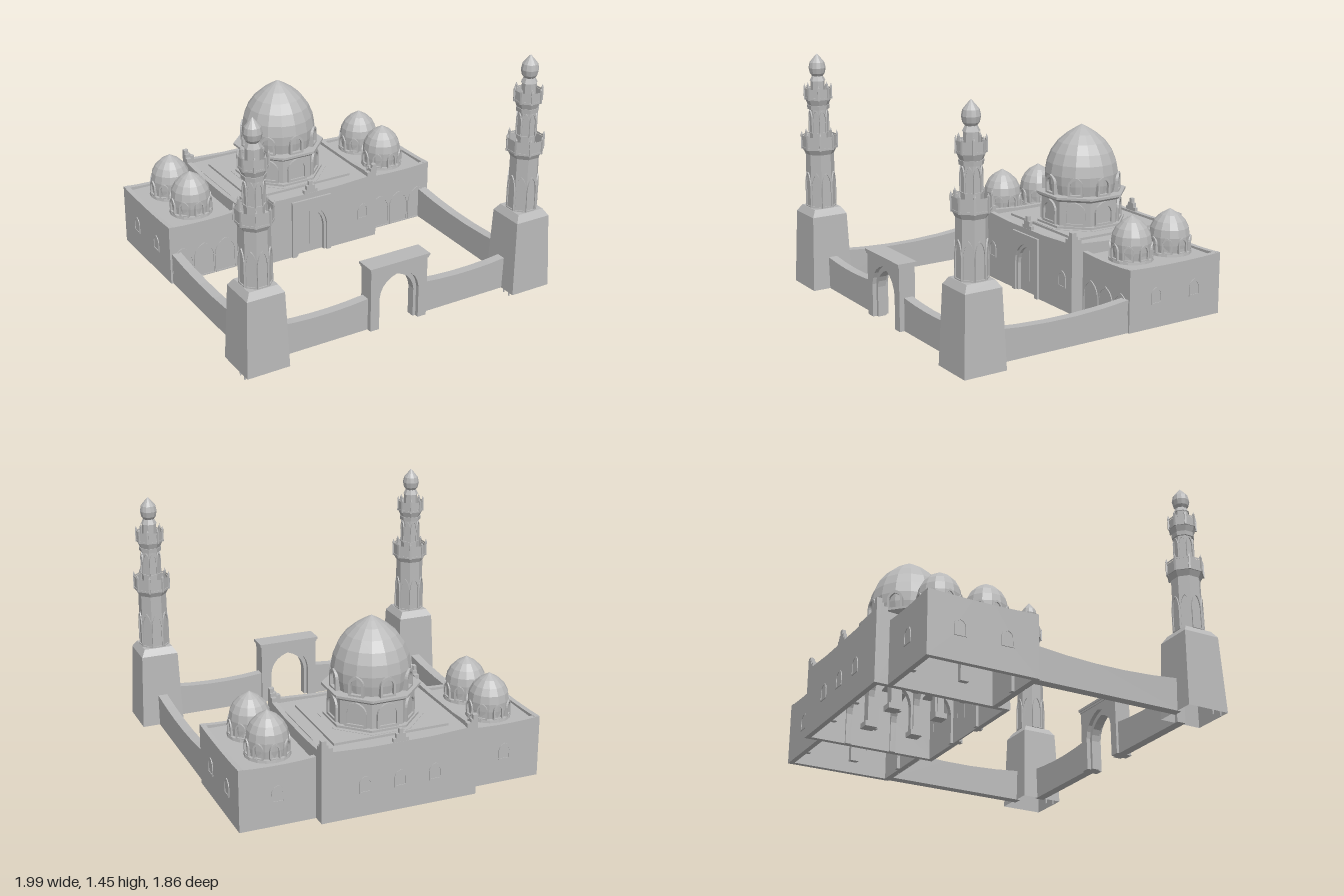
import * as THREE from 'three';

const BASE = 0.025;
const stone = new THREE.MeshStandardMaterial({ color: 0xb8b8b8, flatShading: true, side: THREE.DoubleSide });
stone.name = 'stone';

function add(parent, name, geo, x = 0, y = 0, z = 0, ry = 0) {
  const m = new THREE.Mesh(geo, stone);
  m.name = name;
  m.position.set(x, y, z);
  m.rotation.y = ry;
  parent.add(m);
  return m;
}

function group(parent, name, x = 0, y = 0, z = 0, ry = 0) {
  const g = new THREE.Group();
  g.name = name;
  g.position.set(x, y, z);
  g.rotation.y = ry;
  parent.add(g);
  return g;
}

const box = (w, h, d) => new THREE.BoxGeometry(w, h, d);

// Prism with flat sides facing the axes; sizes are half widths
function prism(parent, name, sides, bottom, top, y0, y1, open = false) {
  const k = 1 / Math.cos(Math.PI / sides);
  const geo = new THREE.CylinderGeometry(top * k, bottom * k, y1 - y0, sides, 1, open);
  return add(parent, name, geo, 0, (y0 + y1) / 2, 0, Math.PI / sides);
}

const lathe = (pts, n) => new THREE.LatheGeometry(pts.map(p => new THREE.Vector2(p[0], p[1])), n);

// Pointed arch drawn from its right foot to its left foot
function traceArch(path, cx, y, w, h) {
  const s = y + h * 0.58, c = y + h * 0.9;
  path.lineTo(cx + w, y);
  path.lineTo(cx + w, s);
  path.quadraticCurveTo(cx + w * 0.92, c, cx, y + h);
  path.quadraticCurveTo(cx - w * 0.92, c, cx - w, s);
  path.lineTo(cx - w, y);
}

// Upright slab, outer face at z = 0; arches are [x, halfWidth, height], windows [x, y, halfWidth, height]
function slab({ half, top, arches = [], windows = [], depth = 0.03 }) {
  const shape = new THREE.Shape();
  shape.moveTo(-half, 0);
  top.forEach(p => shape.lineTo(p[0], p[1]));
  shape.lineTo(half, 0);
  [...arches].sort((a, b) => b[0] - a[0]).forEach(a => traceArch(shape, a[0], 0, a[1], a[2]));
  for (const [x, y, w, h] of windows) {
    const hole = new THREE.Path();
    hole.moveTo(x + w, y);
    traceArch(hole, x, y, w, h);
    shape.holes.push(hole);
  }
  const geo = new THREE.ExtrudeGeometry(shape, { depth, bevelEnabled: false, curveSegments: 5 });
  return geo.translate(0, 0, -depth);
}

// Arched frame with a recessed panel
function niche(parent, name, w, h, depth, x, y, z, ry = 0, rim = 0.22) {
  const g = group(parent, name, x, y, z, ry);
  const outer = new THREE.Shape(), inner = new THREE.Path();
  outer.moveTo(w, 0);
  traceArch(outer, 0, 0, w, h);
  const r = w * rim;
  inner.moveTo(w - r, r);
  traceArch(inner, 0, r, w - r, h - 2.4 * r);
  outer.holes.push(inner);
  add(g, 'archFrame', new THREE.ExtrudeGeometry(outer, { depth, bevelEnabled: false, curveSegments: 5 }));
  const panel = new THREE.Shape();
  panel.moveTo(w - r, r);
  traceArch(panel, 0, r, w - r, h - 2.4 * r);
  add(g, 'archPanel', new THREE.ShapeGeometry(panel, 5), 0, 0, depth * 0.2);
}

function ring(n, radius, fn) {
  for (let i = 0; i < n; i++) {
    const a = (i / n) * Math.PI * 2;
    fn(Math.sin(a) * radius, Math.cos(a) * radius, a);
  }
}

// Top line that dips in the middle
function sag(half, end, mid) {
  return [-1, -0.6, -0.2, 0.2, 0.6, 1].map(t => [t * half, mid + (end - mid) * t * t]);
}

// Dipping top line with stepped corners
function stepped(half) {
  const up = [[0, 0.485], [0.02, 0.485], [0.02, 0.46], [0.04, 0.46], [0.04, 0.44], [0.065, 0.44], [0.065, 0.415]];
  return [
    ...up.map(p => [-half + p[0], p[1]]), [-half * 0.4, 0.404], [half * 0.4, 0.404],
    ...up.map(p => [half - p[0], p[1]]).reverse(),
  ];
}

function windowWithPane(parent, x, y, z, ry) {
  const g = group(parent, 'window', x, y, z, ry);
  niche(g, 'windowFrame', 0.037, 0.1, 0.005, 0, 0, 0);
  add(g, 'windowPane', box(0.07, 0.1, 0.006), 0, 0.05, -0.022);
}

function mainHall(root) {
  const g = group(root, 'mainHall', 0, BASE, -0.528);
  const X = 0.465, Z = 0.402, top = 0.375;
  const win = x => [x, 0.153, 0.026, 0.075];
  add(g, 'frontWall', slab({ half: X, top: stepped(X), arches: [[0, 0.09, 0.29]], windows: [win(-0.37), win(0.37)] }), 0, 0, Z);
  add(g, 'backWall', slab({ half: X, top: stepped(X), windows: [-0.21, 0, 0.21].map(win) }), 0, 0, -Z, Math.PI);
  for (const s of [-1, 1]) {
    add(g, 'sideWall', slab({ half: Z, top: stepped(Z) }), s * X, 0, 0, s * Math.PI / 2);
    windowWithPane(g, s * 0.37, 0.14, Z, 0);
    // Stepped crests over front and back
    [[0.09, 0.425], [0.055, 0.452], [0.022, 0.48]].forEach(([w, h]) =>
      add(g, 'crest', box(w, h - 0.39, 0.022), 0, (h + 0.39) / 2, s * (Z - 0.012)));
  }
  [-0.21, 0, 0.21].forEach(x => windowWithPane(g, x, 0.14, -Z, Math.PI));
  add(g, 'roof', box(0.9, 0.02, 0.78), 0, top);
  add(g, 'roofEdge', box(0.84, 0.008, 0.74), 0, top + 0.012);
  add(g, 'roofPlatform', box(0.69, 0.02, 0.57), 0, top + 0.02);

  // Entrance with double door
  add(g, 'portal', slab({ half: 0.134, top: [[-0.134, 0.37], [0.134, 0.37]], arches: [[0, 0.105, 0.31]], depth: 0.014 }), 0, 0, Z + 0.014);
  for (const s of [-1, 1]) add(g, 'doorLeaf', box(0.088, 0.3, 0.01), s * 0.0455, 0.15, Z - 0.025);

  // Inner arcades
  for (const z of [-0.15, 0.13]) {
    add(g, 'arcade', slab({ half: 0.44, top: [[-0.44, 0.365], [0.44, 0.365]],
      arches: [-0.3, 0, 0.3].map(x => [x, 0.125, 0.31]), depth: 0.035 }), 0, 0, z + 0.017);
    for (const x of [-0.15, 0.15]) add(g, 'pillarFoot', box(0.07, 0.03, 0.07), x, 0.015, z);
  }
  for (const x of [-0.15, 0.15])
    add(g, 'crossArcade', slab({ half: 0.37, top: [[-0.37, 0.365], [0.37, 0.365]],
      arches: [-0.255, 0, 0.245].map(v => [v, 0.1, 0.3]), depth: 0.03 }), x + 0.015, 0, 0, Math.PI / 2);
}

function mainDome(root) {
  const g = group(root, 'mainDome', 0, 0, -0.525);
  prism(g, 'drumBase', 8, 0.275, 0.275, 0.41, 0.432);
  prism(g, 'drumStep', 8, 0.25, 0.25, 0.432, 0.445);
  prism(g, 'drum', 8, 0.226, 0.226, 0.44, 0.6);
  prism(g, 'cornice', 8, 0.235, 0.253, 0.592, 0.608);
  prism(g, 'corniceTop', 8, 0.256, 0.256, 0.608, 0.622);
  ring(8, 0.226, (x, z, a) => niche(g, 'drumArch', 0.065, 0.145, 0.014, x, 0.445, z, a));
  add(g, 'dome', lathe([[0.212, 0.62], [0.222, 0.68], [0.224, 0.735], [0.212, 0.8], [0.186, 0.863],
    [0.145, 0.92], [0.09, 0.968], [0.04, 1], [0, 1.022]], 16));
  ring(8, 0.205, (x, z, a) => niche(g, 'domeNiche', 0.045, 0.12, 0.028, x, 0.62, z, a, 0.28));
}

function smallDome(root, x, z) {
  const g = group(root, 'smallDome', x, 0, z);
  add(g, 'collar', new THREE.CylinderGeometry(0.128, 0.132, 0.025, 16), 0, 0.373);
  add(g, 'dome', lathe([[0.11, 0.38], [0.117, 0.43], [0.119, 0.475], [0.111, 0.52], [0.09, 0.56],
    [0.055, 0.595], [0.022, 0.614], [0, 0.628]], 14));
  ring(8, 0.108, (px, pz, a) => niche(g, 'domeNiche', 0.03, 0.095, 0.016, px, 0.383, pz, a, 0.28));
}

function wing(root, s) {
  const g = group(root, 'wing', s * 0.685, BASE, -0.528);
  const X = 0.22, Z = 0.324;
  const win = x => [x, 0.153, 0.026, 0.075];
  const top = h => sag(h, 0.366, 0.357);
  add(g, 'frontWall', slab({ half: X, top: top(X) }), 0, 0, Z);
  add(g, 'backWall', slab({ half: X, top: top(X), windows: [win(0)] }), 0, 0, -Z, Math.PI);
  windowWithPane(g, 0, 0.14, -Z, Math.PI);
  add(g, 'outerWall', slab({ half: Z, top: top(Z), windows: [win(-0.137 * s), win(0.137 * s)] }), s * X, 0, 0, s * Math.PI / 2);
  for (const z of [-0.137, 0.137]) windowWithPane(g, s * X, 0.14, z, s * Math.PI / 2);
  add(g, 'roof', box(0.42, 0.015, 0.63), 0, 0.337);
  for (const x of [-0.14, 0, 0.14]) niche(g, 'blindArch', 0.068, 0.215, 0.006, x, 0, Z, 0, 0.12);
  add(g, 'innerArcade', slab({ half: 0.3, top: [[-0.3, 0.33], [0.3, 0.33]],
    arches: [-0.15, 0.15].map(v => [v, 0.125, 0.28]) }), 0.015, 0, 0, Math.PI / 2);
  for (const z of [-0.14, 0.138]) smallDome(root, s * 0.672, -0.528 + z);
}

function balcony(g, r, y0, y1) {
  prism(g, 'balconyCorbel', 8, r * 0.74, r * 0.94, y0 - 0.04, y0);
  prism(g, 'balconyFloor', 8, r, r, y0, y0 + 0.012);
  prism(g, 'balconyRail', 8, r * 0.97, r * 0.97, y0 + 0.012, y1 - 0.01, true);
  prism(g, 'balconyRim', 8, r, r, y1 - 0.01, y1, true);
  for (let i = 0; i < 8; i++) {
    const a = (i + 0.5) * Math.PI / 4, k = r * 1.05;
    add(g, 'balconyPost', box(0.011, y1 - y0 + 0.012, 0.011), Math.sin(a) * k, (y0 + y1) / 2 + 0.004, Math.cos(a) * k, a);
    add(g, 'postTip', new THREE.ConeGeometry(0.007, 0.02, 6), Math.sin(a) * k, y1 + 0.018, Math.cos(a) * k);
  }
}

function minaret(root, s) {
  const g = group(root, 'minaret', s * 0.868, 0, 0.794);
  prism(g, 'base', 4, 0.129, 0.112, BASE, 0.475, true);
  prism(g, 'baseShoulder', 4, 0.112, 0.086, 0.475, 0.515);
  prism(g, 'lowerShaft', 8, 0.08, 0.078, 0.515, 0.86);
  ring(8, 0.077, (x, z, a) => niche(g, 'shaftArch', 0.033, 0.215, 0.009, x, 0.518, z, a));
  balcony(g, 0.1, 0.875, 0.955);
  prism(g, 'upperShaft', 8, 0.052, 0.05, 0.88, 1.17);
  ring(8, 0.05, (x, z, a) => niche(g, 'upperArch', 0.022, 0.14, 0.008, x, 0.97, z, a));
  prism(g, 'upperBand', 8, 0.06, 0.062, 1.115, 1.14);
  balcony(g, 0.075, 1.175, 1.24);
  prism(g, 'lantern', 8, 0.04, 0.038, 1.18, 1.295);
  prism(g, 'lanternCap', 8, 0.044, 0.03, 1.285, 1.315);
  add(g, 'finial', lathe([[0.026, 1.305], [0.044, 1.33], [0.051, 1.362], [0.044, 1.395], [0.024, 1.42], [0.008, 1.438], [0, 1.447]], 12));
  for (const z of [0.035, 0.085]) add(g, 'basePeg', new THREE.CylinderGeometry(0.005, 0.005, 0.06, 6), -0.12, 0.03, z);
}

function gate(root) {
  const g = group(root, 'gate', 0, BASE, 0.795);
  const plate = (half, w, h, depth) => slab({ half, top: [[-half, 0.375], [half, 0.375]], arches: [[0, w, h]], depth });
  add(g, 'gateFrame', plate(0.185, 0.13, 0.335, 0.1), 0, 0, 0.05);
  add(g, 'gateInnerArch', plate(0.15, 0.112, 0.305, 0.05), 0, 0, 0.025);
  add(g, 'gateCornice', box(0.378, 0.014, 0.11), 0, 0.375);
  add(g, 'gateCap', box(0.39, 0.015, 0.12), 0, 0.388);
}

export function createModel() {
  const root = new THREE.Group();
  root.name = 'domedBuilding';
  mainHall(root);
  mainDome(root);
  gate(root);
  for (const s of [-1, 1]) {
    wing(root, s);
    minaret(root, s);
    // Courtyard walls
    add(root, 'frontCourtWall', slab({ half: 0.29, top: sag(0.29, 0.195, 0.178), depth: 0.055 }), s * 0.47, BASE, 0.815);
    add(root, 'sideCourtWall', slab({ half: 0.45, top: sag(0.45, 0.193, 0.166), depth: 0.056 }), s * 0.892, BASE, 0.24, s * Math.PI / 2);
  }
  return root;
}
